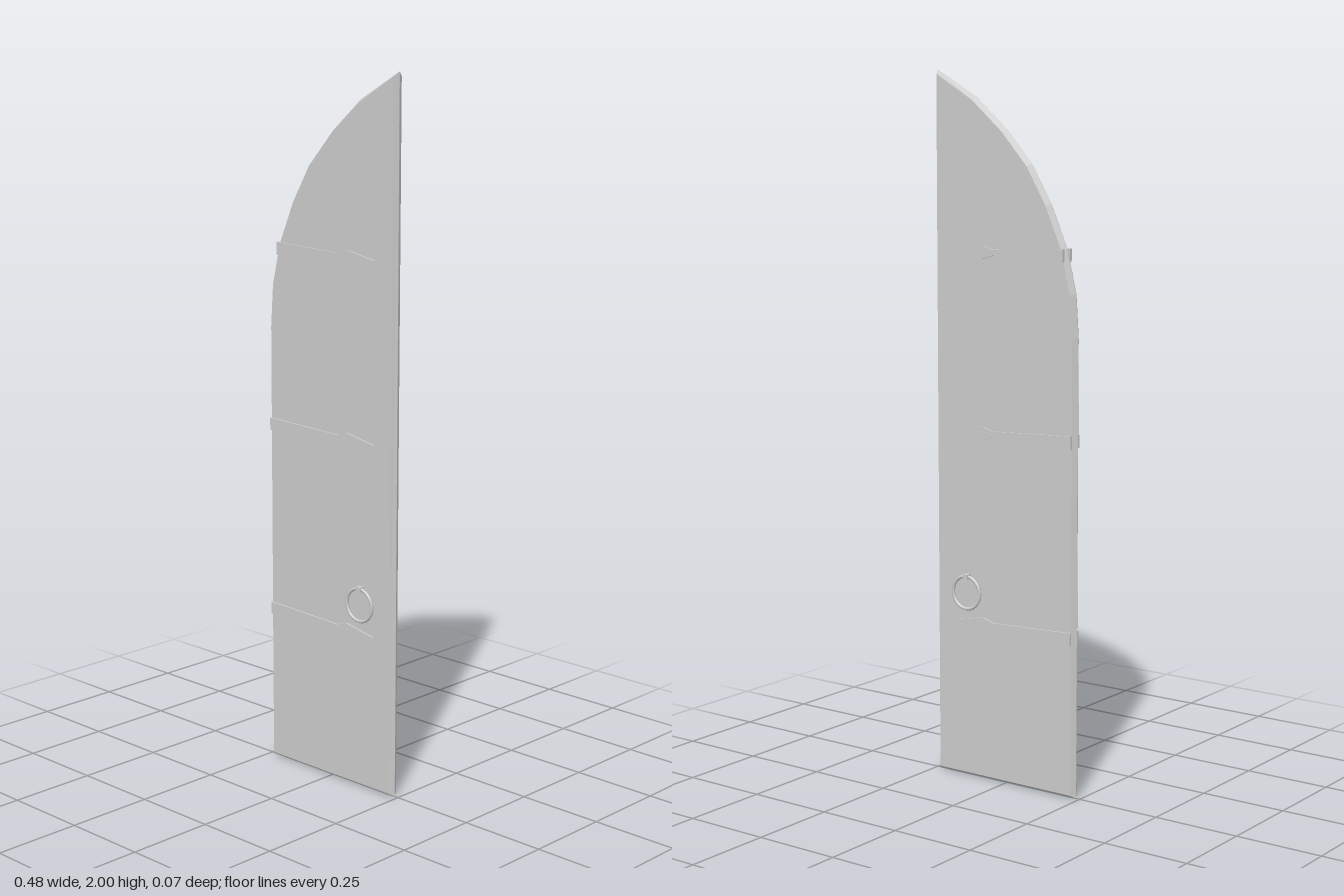
import * as THREE from 'three';

const material = new THREE.MeshStandardMaterial({ color: 0xcccccc, flatShading: true });
const ringMaterial = new THREE.MeshStandardMaterial({ color: 0xcccccc });

function addMesh(parent, name, geometry, mat = material) {
  const mesh = new THREE.Mesh(geometry, mat);
  mesh.name = name;
  parent.add(mesh);
  return mesh;
}

const shapeFrom = (points) => new THREE.Shape(points.map(([x, y]) => new THREE.Vector2(x, y)));

// Door leaf: half of a pointed arch, its rim bevelled to a ridge all round
function doorLeaf() {
  const outline = shapeFrom([
    [-0.238, 0], [0.238, 0], [0.238, 2], [0.103, 1.925], [0, 1.838], [-0.085, 1.745],
    [-0.148, 1.64], [-0.201, 1.52], [-0.23, 1.4], [-0.238, 1.28],
  ]);
  const depth = 0.001;
  const geometry = new THREE.ExtrudeGeometry(outline, {
    depth, bevelEnabled: true, bevelSegments: 1,
    bevelThickness: 0.0155, bevelSize: 0.01, bevelOffset: -0.01,
  });
  return geometry.translate(0, 0, -depth / 2);
}

// Hinge strap: tapers to a neck, then flares into a spearhead
function hingeStrap(start, tip) {
  const upper = [[start, 0.018], [tip - 0.135, 0.008], [tip - 0.1, 0.019]];
  const lower = upper.map(([x, y]) => [x, -y]);
  const outline = shapeFrom([...lower, [tip, 0], ...upper.reverse()]);
  return new THREE.ExtrudeGeometry(outline, { depth: 0.0095, bevelEnabled: false })
    .translate(0, 0, 0.012);
}

// Straps and ring handle for one face, built towards +z
function faceFittings() {
  const side = new THREE.Group();
  for (const [y, start] of [[0.455, -0.229], [1.0, -0.229], [1.503, -0.2]]) {
    addMesh(side, 'hingeStrap', hingeStrap(start, 0.17)).position.y = y;
  }

  const handle = new THREE.Group();
  handle.name = 'ringHandle';
  handle.position.set(0.124, 0.54, 0);
  addMesh(handle, 'ring', new THREE.TorusGeometry(0.047, 0.0048, 8, 24), ringMaterial)
    .position.z = 0.0255;
  addMesh(handle, 'ringMount', new THREE.BoxGeometry(0.017, 0.014, 0.021))
    .position.set(0, 0.046, 0.0225);
  side.add(handle);
  return side;
}

// Reflects a geometry in z and restores the winding of its triangles
function mirrorZ(geometry) {
  const result = geometry.index ? geometry.toNonIndexed() : geometry.clone();
  result.scale(1, 1, -1);
  for (const attribute of Object.values(result.attributes)) {
    const { array, itemSize } = attribute;
    for (let i = 0; i < array.length; i += itemSize * 3) {
      for (let k = 0; k < itemSize; k++) {
        const a = i + itemSize + k, b = a + itemSize;
        [array[a], array[b]] = [array[b], array[a]];
      }
    }
  }
  return result;
}

export function createModel() {
  const model = new THREE.Group();
  model.name = 'archedDoor';
  addMesh(model, 'doorLeaf', doorLeaf());

  const front = faceFittings();
  front.name = 'frontFittings';

  // The back carries the same fittings, mirrored through the leaf
  const back = faceFittings();
  back.name = 'backFittings';
  back.traverse((part) => {
    part.position.z *= -1;
    if (part.isMesh) part.geometry = mirrorZ(part.geometry);
  });

  model.add(front, back);
  return model;
}
